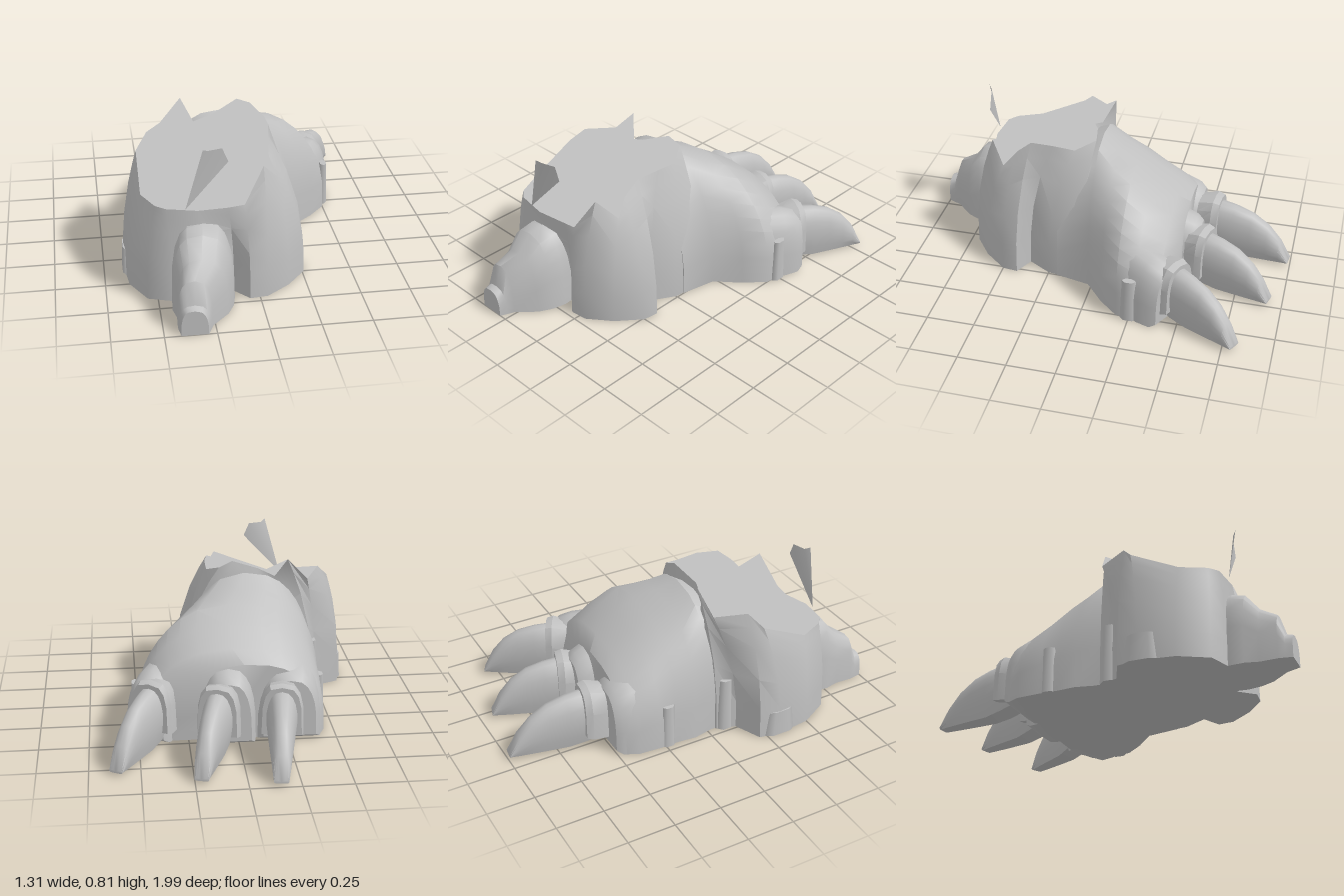
import * as THREE from 'three';
import { toCreasedNormals } from 'three/addons/utils/BufferGeometryUtils.js';

const stone = new THREE.MeshStandardMaterial({ color: 0xc0c0c0, side: THREE.DoubleSide });
stone.name = 'stone grey';

function surface(points, index, name, crease) {
  let geo = new THREE.BufferGeometry();
  geo.setAttribute('position', new THREE.Float32BufferAttribute(points.flat(), 3));
  geo.setIndex(index);
  geo = toCreasedNormals(geo, crease);
  const mesh = new THREE.Mesh(geo, stone);
  mesh.name = name;
  return mesh;
}

// Arched cross-sections [centre x, z, half width, bottom, top], running towards -z.
// dip rounds the underside; droop lowers the [-x, +x] flanks.
function archLoft(sections, name, { n = 12, power = 0.65, droop = [0, 0], dip = 0, crease = 0.7 } = {}) {
  const points = [], index = [], m = n + 1;
  for (const [cx, z, hw, y0, y1] of sections) {
    for (let i = 0; i <= n; i++) {
      const a = -dip + (Math.PI + 2 * dip) * i / n, c = Math.cos(a);
      const u = -Math.sign(c) * Math.abs(c) ** power;
      const rise = Math.max(0, (Math.sin(a) + Math.sin(dip)) / (1 + Math.sin(dip))) ** power;
      points.push([cx + hw * u, y0 + (y1 - y0) * rise * (1 - droop[u < 0 ? 0 : 1] * u * u), z]);
    }
  }
  for (let s = 0; s < sections.length - 1; s++) {
    for (let i = 0; i < m; i++) {
      const a = s * m + i, b = s * m + (i + 1) % m;
      index.push(a, b, a + m, b, b + m, a + m);
    }
  }
  const last = (sections.length - 1) * m;
  for (const [start, s] of [[0, sections[0]], [last, sections[sections.length - 1]]]) {
    const centre = points.push([s[0], (s[3] + s[4]) / 2, s[1]]) - 1;
    for (let i = 0; i < m; i++) {
      const a = start + i, b = start + (i + 1) % m;
      index.push(centre, ...(start === 0 ? [b, a] : [a, b]));
    }
  }
  return surface(points, index, name, crease);
}

// Ankle stations, round from the front: base x, base z, rim x, rim y, rim z
const STATIONS = [
  [-0.43, 0.69, -0.45, 0.50, 0.67], [-0.25, 0.70, -0.30, 0.49, 0.69],
  [-0.12, 0.64, -0.15, 0.48, 0.66], [-0.05, 0.72, -0.07, 0.49, 0.66],
  [0.04, 0.71, 0.03, 0.66, 0.60], [0.16, 0.62, 0.11, 0.56, 0.52],
  [0.26, 0.50, 0.08, 0.64, 0.45], [0.27, 0.42, 0.09, 0.71, 0.37],
  [0.17, 0.37, 0.11, 0.72, 0.25], [0.24, 0.25, 0.11, 0.71, 0.13],
  [0.26, 0.08, 0.05, 0.75, 0.03], [0.10, 0.00, -0.02, 0.78, 0.04],
  [-0.10, 0.00, -0.16, 0.72, 0.09], [-0.30, 0.00, -0.25, 0.68, 0.07],
  [-0.46, 0.05, -0.31, 0.79, 0.01], [-0.49, 0.15, -0.42, 0.67, 0.04],
  [-0.63, 0.21, -0.50, 0.69, 0.19], [-0.65, 0.32, -0.56, 0.62, 0.25],
  [-0.63, 0.50, -0.56, 0.50, 0.50], [-0.55, 0.65, -0.50, 0.50, 0.63],
];

function ankle() {
  const group = new THREE.Group();
  group.name = 'ankle';
  const points = [], index = [], n = STATIONS.length, levels = [0, 0.25, 0.5, 0.75, 0.9, 1];
  for (const t of levels) {
    const lean = t ** 2.4;
    for (const [bx, bz, rx, ry, rz] of STATIONS) {
      points.push([bx + (rx - bx) * lean, ry * t, bz + (rz - bz) * lean]);
    }
  }
  for (let r = 0; r < levels.length - 1; r++) {
    for (let i = 0; i < n; i++) {
      const a = r * n + i, b = r * n + (i + 1) % n;
      index.push(a, b, a + n, b, b + n, a + n);
    }
  }
  const base = points.push([-0.2, 0, 0.35]) - 1;
  for (let i = 0; i < n; i++) index.push(base, (i + 1) % n, i);
  group.add(surface(points, index, 'ankleSkin', 0.8));

  // Torn upper face, fanned from a point in the middle
  const rim = STATIONS.map(([, , x, y, z]) => [x, y, z]);
  rim.push([-0.24, 0.63, 0.34]);
  const fan = [];
  for (let i = 0; i < n; i++) fan.push(i, (i + 1) % n, n);
  const top = surface(rim, fan, 'tornTop', 0.1);
  // Even upward shading across the tear
  const normals = top.geometry.attributes.normal;
  for (let i = 0; i < normals.count; i++) normals.setXYZ(i, 0, 1, 0);
  group.add(top);

  // Thin upright splinter on the rim
  group.add(surface(
    [[-0.36, 0.5, 0.69], [-0.15, 0.73, 0.67], [-0.18, 0.80, 0.67], [-0.25, 0.80, 0.69], [-0.275, 0.815, 0.71]],
    [0, 1, 2, 0, 2, 3, 0, 3, 4], 'splinter', 1));
  return group;
}

function claw(x, z, tipX, tipZ) {
  const group = new THREE.Group();
  group.name = 'claw';
  const L = Math.hypot(tipX - x, tipZ - z);
  const profile = [[-0.15, 0.075, 0.06, 0.29], [0.1, 0.078, 0.03, 0.31], [0.3, 0.07, 0.015, 0.298],
    [0.52, 0.062, 0.015, 0.27], [0.72, 0.053, 0.015, 0.215], [0.88, 0.045, 0.015, 0.135], [1, 0.036, 0.015, 0.03]];
  group.add(archLoft(profile.map(([t, w, y0, y1]) => [0, -t * L, w, y0, y1]), 'clawHorn',
    { n: 14, power: 0.85, dip: 0.8 }));
  // Cuff of skin around the root
  group.add(archLoft([[0, 0.06, 0.1, 0.06, 0.32], [0, -0.02, 0.11, 0.07, 0.34],
    [0, -0.055, 0.1, 0.08, 0.33]], 'clawCuff', { n: 8, power: 0.6, crease: 0.4 }));
  group.position.set(x, 0, z);
  group.rotation.y = -Math.atan2(tipX - x, z - tipZ);
  return group;
}

function toe(x, z, width, height, yaw) {
  const mesh = archLoft([[0, 0.2, width * 0.8, 0, height], [0, 0.05, width, 0, height],
    [0, -0.08, width * 0.97, 0, height * 0.95], [0, -0.15, width * 0.88, 0, height * 0.88],
    [0, -0.18, width * 0.75, 0.02, height * 0.8]], 'toe', { n: 12, power: 0.65, droop: [0.1, 0.1] });
  mesh.position.set(x, 0, z);
  mesh.rotation.y = yaw;
  return mesh;
}

export function createModel() {
  const model = new THREE.Group();
  model.name = 'clawedFoot';
  model.add(ankle());

  // Broad instep, falling towards the toes and the +x flank
  model.add(archLoft([
    [-0.10, 0.20, 0.35, 0, 0.64], [-0.08, 0.02, 0.37, 0, 0.72], [-0.03, -0.08, 0.44, 0, 0.66],
    [0.02, -0.18, 0.48, 0, 0.62], [0.03, -0.28, 0.49, 0, 0.545], [0.025, -0.40, 0.475, 0, 0.465],
    [-0.03, -0.46, 0.39, 0, 0.40],
  ], 'instep', { n: 18, power: 0.62, droop: [0.15, 0.3] }));

  // Toes and claws
  model.add(toe(-0.26, -0.32, 0.18, 0.40, 0), toe(0.05, -0.36, 0.15, 0.41, 0),
    toe(0.38, -0.29, 0.135, 0.37, -0.5));
  model.add(claw(-0.21, -0.55, -0.15, -0.99), claw(0.10, -0.54, 0.22, -0.93),
    claw(0.42, -0.45, 0.62, -0.81));

  // Blunt heel spur
  const spur = archLoft([[0.27, -0.60, 0.14, 0, 0.43], [0.28, -0.70, 0.155, 0, 0.42],
    [0.29, -0.77, 0.15, 0, 0.40], [0.30, -0.84, 0.125, 0, 0.31], [0.345, -0.93, 0.085, 0, 0.25],
    [0.35, -0.965, 0.075, 0, 0.14], [0.355, -1.0, 0.065, 0, 0.13]], 'heelSpur',
  { n: 10, power: 0.6, droop: [0.15, 0] });
  spur.rotation.y = Math.PI;
  model.add(spur);

  // Small folds along the sides: x, z, width, depth, height
  for (const [x, z, w, d, h] of [[-0.63, 0.33, 0.06, 0.2, 0.14], [-0.46, 0.10, 0.06, 0.09, 0.3],
    [-0.45, -0.23, 0.05, 0.08, 0.24], [0.51, -0.25, 0.05, 0.09, 0.24]]) {
    const fold = new THREE.Mesh(new THREE.CylinderGeometry(0.4, 0.5, 1, 6), stone);
    fold.name = 'sideFold';
    fold.scale.set(w, h, d);
    fold.position.set(x, h / 2, z);
    model.add(fold);
  }
  return model;
}
